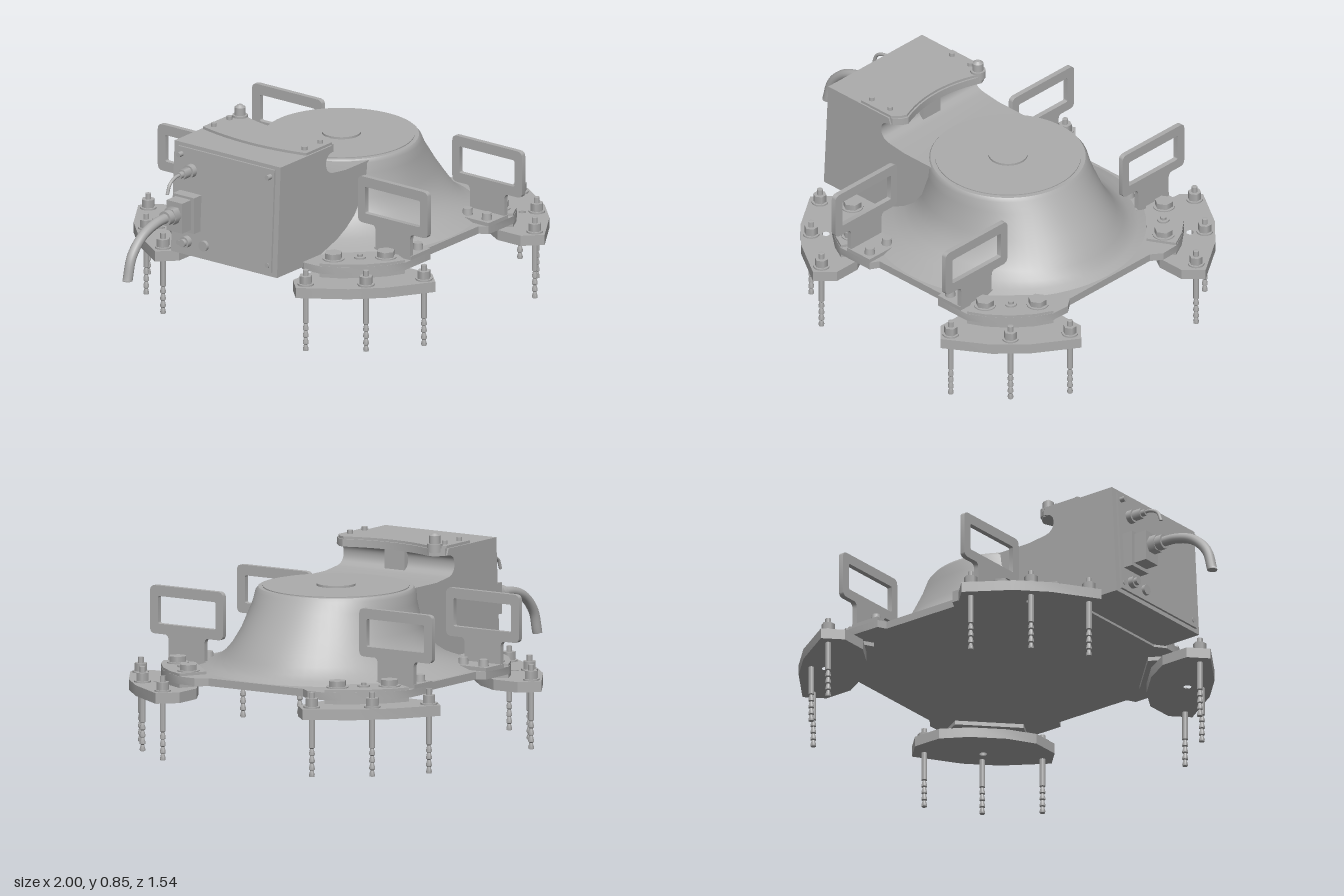
import * as THREE from 'three';
import { toCreasedNormals } from 'three/addons/utils/BufferGeometryUtils.js';

const steel = new THREE.MeshStandardMaterial({ color: 0xacacac });
steel.name = 'grey steel';

function add(parent, name, geometry, x = 0, y = 0, z = 0) {
  const mesh = new THREE.Mesh(geometry, steel);
  mesh.name = name;
  mesh.position.set(x, y, z);
  parent.add(mesh);
  return mesh;
}

// Vertical cylinder standing on y0
function post(parent, name, r, y0, y1, x, z, sides = 20, rTop = r) {
  return add(parent, name, new THREE.CylinderGeometry(rTop, r, y1 - y0, sides), x, (y0 + y1) / 2, z);
}

// Cylinder lying along x
function barrel(parent, name, r, x0, x1, y, z, sides = 20) {
  const mesh = add(parent, name, new THREE.CylinderGeometry(r, r, x1 - x0, sides), (x0 + x1) / 2, y, z);
  mesh.rotation.z = Math.PI / 2;
  return mesh;
}

function box(parent, name, x0, x1, y0, y1, z0, z1) {
  return add(parent, name, new THREE.BoxGeometry(x1 - x0, y1 - y0, z1 - z0),
    (x0 + x1) / 2, (y0 + y1) / 2, (z0 + z1) / 2);
}

// Slab from a plan outline of [x, z] points, with optional round holes [x, z, r]
function slab(points, y0, y1, holes = []) {
  const shape = new THREE.Shape(points.map(([x, z]) => new THREE.Vector2(x, -z)));
  for (const [x, z, r] of holes) shape.holes.push(new THREE.Path().absarc(x, -z, r, 0, Math.PI * 2, true));
  const g = new THREE.ExtrudeGeometry(shape, { depth: y1 - y0, bevelEnabled: false, curveSegments: 10 });
  return toCreasedNormals(g.rotateX(-Math.PI / 2).translate(0, y0, 0), 0.5);
}

function roundedRect(path, x0, y0, x1, y1, r) {
  path.moveTo(x0 + r, y0);
  path.lineTo(x1 - r, y0).quadraticCurveTo(x1, y0, x1, y0 + r);
  path.lineTo(x1, y1 - r).quadraticCurveTo(x1, y1, x1 - r, y1);
  path.lineTo(x0 + r, y1).quadraticCurveTo(x0, y1, x0, y1 - r);
  path.lineTo(x0, y0 + r).quadraticCurveTo(x0, y0, x0 + r, y0);
  return path;
}

// Flared housing: sides along z curve out, the side along x slopes evenly
function housingGeometry() {
  const ys = [0.33, 0.35, 0.37, 0.4, 0.44, 0.5, 0.6, 0.645, 0.66];
  const rz = [0.575, 0.52, 0.47, 0.425, 0.385, 0.355, 0.333, 0.33, 0.318];
  const rx = [0.577, 0.545, 0.525, 0.505, 0.48, 0.435, 0.36, 0.33, 0.318];
  const g = new THREE.LatheGeometry(ys.map((y) => new THREE.Vector2(1, y)), 72, -Math.PI / 2);
  const p = g.attributes.position;
  for (let i = 0; i < p.count; i++) {
    const j = i % ys.length, x = p.getX(i), z = p.getZ(i);
    const r = THREE.MathUtils.lerp(rz[j], rx[j], x > 0 ? x * x : 0);
    p.setXYZ(i, x * r, ys[j], z * r);
  }
  g.computeVertexNormals();
  return g;
}

function anchorGeometry() {
  const pts = [[0, 0], [0.011, 0]];
  for (let i = 0; i < 4; i++) pts.push([0.012, i * 0.03 + 0.008], [0.007, i * 0.03 + 0.026], [0.012, i * 0.03 + 0.03]);
  pts.push([0.012, 0.35], [0, 0.352]);
  return toCreasedNormals(new THREE.LatheGeometry(pts.map(([r, y]) => new THREE.Vector2(r, y)), 12), 0.5);
}

function handleGeometry() {
  const frame = roundedRect(new THREE.Shape(), 0.338, 0.445, 0.7, 0.645, 0.025);
  frame.holes.push(roundedRect(new THREE.Path(), 0.375, 0.487, 0.66, 0.602, 0.008));
  const neck = new THREE.Shape();
  neck.moveTo(0.43, 0.335);
  neck.lineTo(0.608, 0.335).lineTo(0.608, 0.42).quadraticCurveTo(0.608, 0.446, 0.63, 0.446);
  neck.lineTo(0.41, 0.446).quadraticCurveTo(0.43, 0.446, 0.43, 0.42);
  const g = new THREE.ExtrudeGeometry([frame, neck], { depth: 0.022, bevelEnabled: false, curveSegments: 5 });
  return toCreasedNormals(g.translate(0, 0, -0.011).rotateY(-Math.PI / 2), 0.5);
}

export function createModel() {
  const model = new THREE.Group();
  model.name = 'machineBase';

  const base = new THREE.Group();
  base.name = 'base';
  base.position.set(0.225, 0, -0.005);
  model.add(base);

  // Flange, mirrored from one quarter outline
  const quarter = [[0.175, 0.575], [0.195, 0.612], [0.36, 0.612], [0.43, 0.575], [0.51, 0.51],
    [0.575, 0.43], [0.612, 0.36], [0.615, 0.28], [0.582, 0.235]];
  const outline = [];
  for (const [sx, sz] of [[1, 1], [1, -1], [-1, -1], [-1, 1]]) {
    const part = quarter.map(([x, z]) => [x * sx, z * sz]);
    outline.push(...(sx * sz > 0 ? part : part.reverse()));
  }
  add(base, 'flange', slab(outline, 0.302, 0.334));

  // Housing and its top
  add(base, 'housing', housingGeometry());
  post(base, 'topDisc', 0.318, 0.64, 0.66, 0, 0, 72);
  post(base, 'topCover', 0.3, 0.655, 0.664, 0, 0, 72);
  post(base, 'centreCap', 0.08, 0.66, 0.673, 0, 0, 40);

  // Four corners: foot plate, pad, anchors, bolts and lifting handle
  const plate = [[0.365, 0.77], [0.545, 0.655], [0.655, 0.545], [0.775, 0.365], [0.705, 0.295],
    [0.58, 0.295], [0.47, 0.36], [0.36, 0.47], [0.295, 0.58], [0.295, 0.7]];
  const pad = [[0.36, 0.61], [0.43, 0.574], [0.51, 0.509], [0.574, 0.43], [0.61, 0.36], [0.5, 0.3], [0.3, 0.5]];
  const anchor = anchorGeometry();
  const handle = handleGeometry();
  for (const sx of [1, -1]) for (const sz of [1, -1]) {
    const corner = new THREE.Group();
    corner.name = 'corner';
    base.add(corner);
    const flip = (pts) => pts.map(([x, z, ...r]) => [x * sx, z * sz, ...r]);
    add(corner, 'footPlate', slab(flip(plate), 0.242, 0.286, flip([[0.53, 0.525, 0.016]])));
    add(corner, 'cornerPad', slab(flip(pad), 0.285, 0.345));
    for (const [x, z] of flip([[0.37, 0.715], [0.57, 0.57], [0.715, 0.37]])) {
      add(corner, 'anchorRod', anchor, x, 0, z);
      post(corner, 'anchorWasher', 0.034, 0.285, 0.293, x, z);
      post(corner, 'anchorNut', 0.028, 0.293, 0.326, x, z, 6);
    }
    for (const [x, z] of flip([[0.53, 0.37], [0.38, 0.525]])) {
      post(corner, 'boltWasher', 0.045, 0.344, 0.35, x, z, 24);
      post(corner, 'hexBolt', 0.038, 0.35, 0.374, x, z, 6);
    }
    const [[px, pz]] = flip([[0.452, 0.447]]);
    post(corner, 'levellingScrew', 0.025, 0.344, 0.352, px, pz);
    post(corner, 'levellingScrewTip', 0.013, 0.352, 0.362, px, pz, 6);

    add(corner, 'handle', handle, 0.315 * sx, 0, 0).scale.z = sz;
    const foot = flip([[0.195, 0.42], [0.195, 0.612], [0.325, 0.612], [0.325, 0.42]]);
    add(corner, 'handleFoot', slab(foot, 0.332, 0.35));
    for (const [x, z] of flip([[0.23, 0.575], [0.23, 0.475]])) {
      post(corner, 'footBolt', 0.022, 0.349, 0.378, x, z, 16, 0.019);
    }
  }

  // Connection box with a rounded notch beside the housing
  const side = new THREE.Shape();
  side.moveTo(-0.56, 0.312);
  side.lineTo(-0.535, 0.785).lineTo(-0.19, 0.785).lineTo(-0.18, 0.757);
  side.quadraticCurveTo(-0.232, 0.757, -0.232, 0.715);
  side.quadraticCurveTo(-0.232, 0.67, -0.18, 0.664);
  side.lineTo(-0.1, 0.654).lineTo(0.16, 0.654).lineTo(0.16, 0.312);
  const boxGeo = new THREE.ExtrudeGeometry(side, { depth: 0.55, bevelEnabled: false, curveSegments: 8 });
  add(model, 'connectionBox', toCreasedNormals(boxGeo.translate(0, 0, -0.28), 0.5));
  box(model, 'notchRib', -0.236, -0.205, 0.66, 0.76, -0.05, 0.05);

  // Lid with a hollow inner edge, over a matching lower lip
  const lid = (x0, grow) => {
    const pts = [];
    for (let i = -6; i <= 6; i++) {
      const t = i / 6;
      pts.push([-0.18 + 0.045 * t * t + grow, t * 0.215]);
    }
    pts.push([-0.145 + grow, 0.24], [-0.175 + grow, 0.268]);
    for (let i = 6; i >= -6; i--) pts.push([x0 + 0.035 * (i / 6) ** 2, (i / 6) * 0.268]);
    pts.push([-0.175 + grow, -0.268], [-0.145 + grow, -0.24]);
    return pts.map(([x, z]) => [x, z - 0.005]);
  };
  add(model, 'lidLip', slab(lid(-0.38, 0), 0.755, 0.786));
  add(model, 'lid', slab(lid(-0.39, -0.008), 0.784, 0.796));
  for (const [x, z] of [[-0.325, -0.24], [-0.325, 0.23], [-0.22, -0.24], [-0.22, 0.23]]) {
    post(model, 'lidScrew', 0.012, 0.795, 0.811, x, z, 12);
  }
  post(model, 'ventBase', 0.032, 0.77, 0.805, -0.165, -0.228);
  post(model, 'ventPost', 0.023, 0.8, 0.838, -0.165, -0.228);
  post(model, 'ventCap', 0.021, 0.838, 0.848, -0.165, -0.228, 20, 0.01);

  // Connector panel on the outer end
  const panel = box(model, 'connectorPanel', -0.008, 0.008, -0.22, 0.22, -0.25, 0.25);
  panel.position.set(-0.549, 0.55, -0.005);
  panel.rotation.z = -0.053;
  for (const y of [0.36, 0.74]) for (const z of [-0.235, 0.225]) {
    barrel(model, 'panelScrew', 0.011, -0.57, -0.53, y, z, 12);
  }
  barrel(model, 'smallPort', 0.024, -0.59, -0.54, 0.375, -0.19);
  barrel(model, 'smallPortTip', 0.016, -0.605, -0.58, 0.375, -0.19);
  barrel(model, 'smallPort', 0.022, -0.58, -0.54, 0.375, -0.1);

  // Main cable
  box(model, 'mainSocket', -0.605, -0.54, 0.43, 0.585, -0.235, -0.125);
  box(model, 'mainPlug', -0.665, -0.6, 0.445, 0.575, -0.22, -0.14);
  barrel(model, 'mainGlandNut', 0.038, -0.7, -0.66, 0.52, -0.18, 6);
  barrel(model, 'mainGland', 0.031, -0.73, -0.695, 0.52, -0.18);
  const cable = (name, r, z, pts) => {
    const curve = new THREE.CatmullRomCurve3(pts.map(([x, y]) => new THREE.Vector3(x, y, z)));
    add(model, name, new THREE.TubeGeometry(curve, 28, r, 14));
    const [x, y] = pts[pts.length - 1];
    post(model, name + 'End', r, y - 0.002, y + 0.002, x, z, 14);
  };
  cable('mainCable', 0.021, -0.18, [[-0.71, 0.521], [-0.79, 0.516], [-0.88, 0.485], [-0.95, 0.415], [-0.978, 0.322]]);

  // Signal cable
  barrel(model, 'signalSocket', 0.028, -0.575, -0.53, 0.68, -0.18);
  barrel(model, 'signalPlug', 0.022, -0.615, -0.57, 0.68, -0.18, 6);
  barrel(model, 'signalGland', 0.014, -0.635, -0.61, 0.68, -0.18);
  cable('signalCable', 0.007, -0.18, [[-0.625, 0.682], [-0.66, 0.679], [-0.695, 0.66], [-0.712, 0.622]]);

  return model;
}
